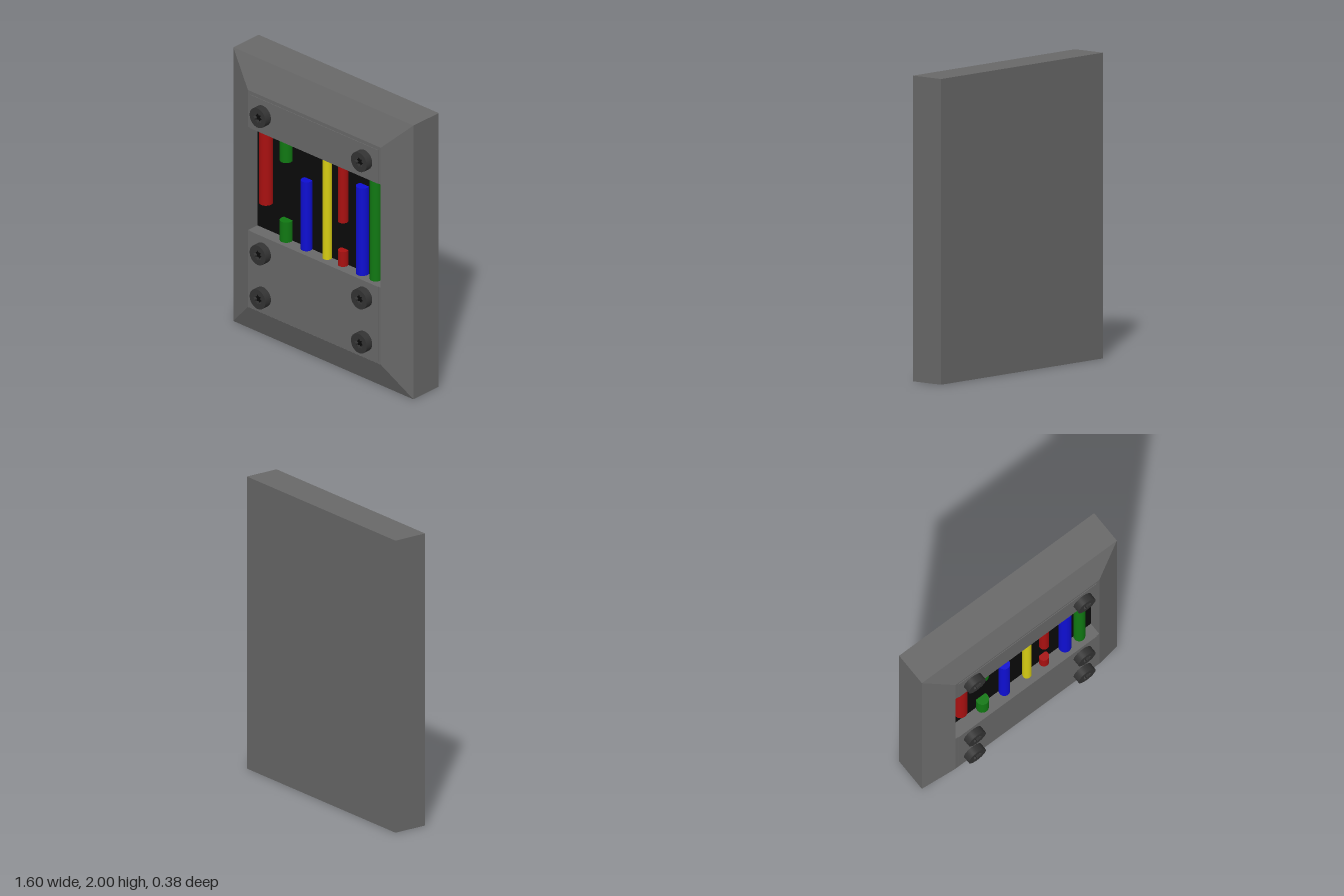
import * as THREE from 'three';

const mat = (name, color) => {
  const m = new THREE.MeshStandardMaterial({ color });
  m.name = name;
  return m;
};

// Rectangular ring of corners, counter-clockwise seen from the front
const ring = (w, y0, y1, z) => [[-w, y0, z], [w, y0, z], [w, y1, z], [-w, y1, z]];

// Flat-sided skin through a list of rectangular rings, closed at the first one
function loftRings(rings) {
  const pos = [];
  const quad = (a, b, c, d) => pos.push(...a, ...b, ...c, ...a, ...c, ...d);
  quad(rings[0][3], rings[0][2], rings[0][1], rings[0][0]);
  for (let r = 0; r < rings.length - 1; r++) {
    for (let i = 0; i < 4; i++) {
      const j = (i + 1) % 4;
      quad(rings[r][i], rings[r][j], rings[r + 1][j], rings[r + 1][i]);
    }
  }
  const g = new THREE.BufferGeometry();
  g.setAttribute('position', new THREE.Float32BufferAttribute(pos, 3));
  g.computeVertexNormals();
  return g;
}

export function createModel() {
  const root = new THREE.Group();
  root.name = 'wirePanel';
  const grey = mat('grey metal', 0x686868);
  const dark = mat('dark screw metal', 0x333333);
  const black = mat('black', 0x0a0a0a);
  const red = mat('red wire', 0xa81010);
  const green = mat('green wire', 0x107812);
  const blue = mat('blue wire', 0x0e0ed2);
  const yellow = mat('yellow wire', 0xd6cc12);

  const add = (name, geo, material, x = 0, y = 0, z = 0, parent = root) => {
    const m = new THREE.Mesh(geo, material);
    m.name = name;
    m.position.set(x, y, z);
    parent.add(m);
    return m;
  };
  const box = (name, material, w, y0, y1, z0, z1) =>
    add(name, new THREE.BoxGeometry(2 * w, y1 - y0, z1 - z0), material, 0, (y0 + y1) / 2, (z0 + z1) / 2);

  // Casing with sloped border and recessed centre
  const front = 0.135, floor = 0.03;
  add('casing', loftRings([
    ring(0.8, 0, 2, -0.19), ring(0.8, 0, 2, 0.05),
    ring(0.59, 0.21, 1.795, front), ring(0.59, 0.21, 1.795, floor),
  ]), grey);

  // Black backing behind the wires
  box('backing', black, 0.59, 0.77, 1.53, floor, 0.045);

  // Cover blocks above and below the wires, each with a thin plate
  box('upperBlock', grey, 0.59, 1.525, 1.795, floor, front - 0.001);
  box('lowerBlock', grey, 0.59, 0.21, 0.772, floor, front - 0.001);
  box('upperPlate', grey, 0.567, 1.525, 1.77, front - 0.001, front + 0.003);
  box('lowerPlate', grey, 0.567, 0.225, 0.772, front - 0.001, front + 0.003);

  // Wires: x, radius, bottom, top, material
  const lo = 0.765, hi = 1.53;
  [
    [-0.495, 0.046, 0.98, hi, red],
    [-0.315, 0.043, 1.355, hi, green],
    [-0.315, 0.043, lo, 0.92, green],
    [-0.135, 0.038, lo, 1.275, blue],
    [0.05, 0.031, lo, hi, yellow],
    [0.19, 0.034, 1.09, hi, red],
    [0.19, 0.034, lo, 0.88, red],
    [0.362, 0.043, lo, 1.41, blue],
    [0.48, 0.039, lo, hi, green],
  ].forEach(([x, r, y0, y1, m]) =>
    add('wire', new THREE.CylinderGeometry(r, r, y1 - y0, 24), m, x, (y0 + y1) / 2, 0.065));

  // Screw head with a star-shaped drive socket
  const star = [];
  for (let i = 0; i < 16; i++) {
    const a = (i * Math.PI) / 8, r = i % 2 ? 0.025 : 0.038;
    star.push(new THREE.Vector2(r * Math.cos(a), r * Math.sin(a)));
  }
  const headShape = new THREE.Shape().absarc(0, 0, 0.07, 0, Math.PI * 2);
  headShape.holes.push(new THREE.Path(star));
  const headGeo = new THREE.ExtrudeGeometry(headShape, { depth: 0.06, bevelEnabled: false, curveSegments: 32 });
  const socketGeo = new THREE.CircleGeometry(0.045, 16);

  for (const x of [-0.453, 0.447]) {
    for (const y of [1.66, 0.657, 0.335]) {
      const screw = new THREE.Group();
      screw.name = 'screw';
      screw.position.set(x, y, 0.13);
      add('screwHead', headGeo, dark, 0, 0, 0, screw);
      add('driveSocket', socketGeo, black, 0, 0, 0.04, screw);
      root.add(screw);
    }
  }
  return root;
}
